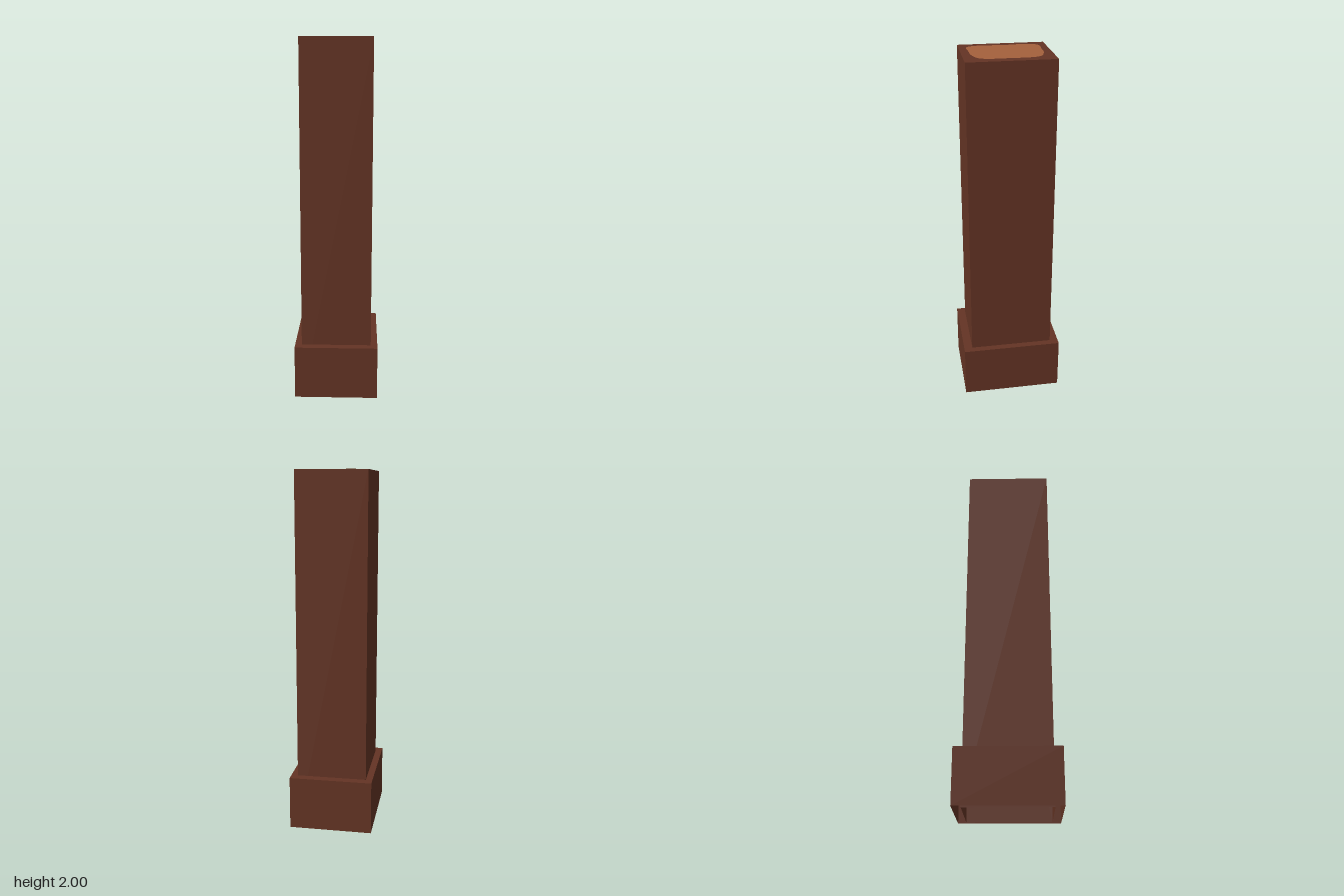
import * as THREE from 'three';

// Box shell standing on y = 0 with its underside left open
function openBox(width, height, depth) {
  const geo = new THREE.BoxGeometry(width, height, depth);
  const index = Array.from(geo.index.array);
  index.splice(18, 6); // drop the bottom face
  geo.setIndex(index);
  geo.clearGroups();
  geo.translate(0, height / 2, 0);
  return geo;
}

// Worn patch outline: one half as [x, z], mirrored across z = 0
function patchGeometry() {
  const half = [
    [-0.15, 0.09], [-0.145, 0.15], [-0.132, 0.181], [-0.105, 0.196],
    [-0.034, 0.192], [0.037, 0.19], [0.08, 0.18], [0.118, 0.166],
    [0.141, 0.134], [0.149, 0.08],
  ];
  const points = [
    [-0.141, 0], ...half, [0.148, 0],
    ...half.slice().reverse().map(([x, z]) => [x, -z]),
  ].map(([x, z]) => new THREE.Vector3(x, z, 0));
  const outline = new THREE.CatmullRomCurve3(points, true).getPoints(88).slice(0, -1);
  const shape = new THREE.Shape(outline.map((p) => new THREE.Vector2(p.x, p.y)));
  return new THREE.ShapeGeometry(shape).rotateX(-Math.PI / 2);
}

export function createModel() {
  const darkBrown = new THREE.MeshStandardMaterial({ color: 0x643424, side: THREE.DoubleSide });
  darkBrown.name = 'dark brown';
  const lightBrown = new THREE.MeshStandardMaterial({ color: 0xa5613c, side: THREE.DoubleSide });
  lightBrown.name = 'light brown';

  const group = new THREE.Group();
  group.name = 'post';
  const add = (name, geometry, material) => {
    const mesh = new THREE.Mesh(geometry, material);
    mesh.name = name;
    group.add(mesh);
    return mesh;
  };

  // Wide foot and the tall column rising through it
  add('base', openBox(0.466, 0.3, 0.564), darkBrown);
  add('column', openBox(0.391, 1.998, 0.469), darkBrown);

  // Lighter patch lying on the column's top
  add('topPatch', patchGeometry(), lightBrown).position.y = 2;

  return group;
}
